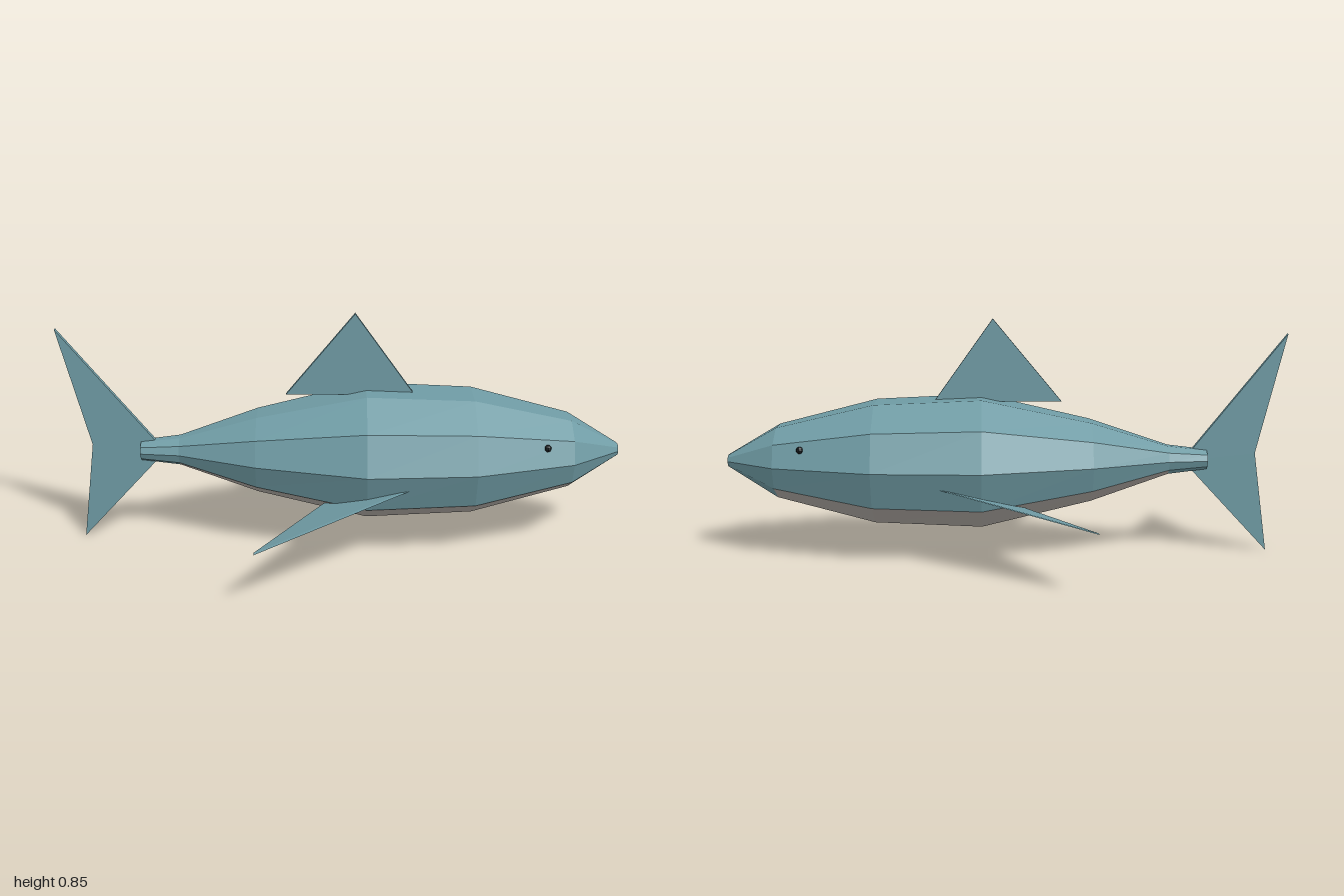
import * as THREE from 'three';

const mat = (color) => new THREE.MeshStandardMaterial({ color, flatShading: true });
const skin = mat(0x6f9ba4), pale = mat(0xb0aaa4), dark = mat(0x15191c);

const SIDES = 10, MID_Y = 0.337, THICK = 0.018;
// Cross-sections from tail to nose: x, half height, half width
const SECTIONS = [
  [-0.72, 0.036, 0.045], [-0.58, 0.053, 0.062], [-0.3, 0.148, 0.178], [0.09, 0.239, 0.28],
  [0.47, 0.222, 0.262], [0.82, 0.132, 0.158], [1.0, 0.022, 0.027],
];

function add(group, name, geometry, material) {
  const mesh = new THREE.Mesh(geometry, material);
  mesh.name = name;
  group.add(mesh);
  return mesh;
}

function fromCorners(corners) {
  const g = new THREE.BufferGeometry();
  g.setAttribute('position', new THREE.Float32BufferAttribute(corners.flat(), 3));
  g.computeVertexNormals();
  return g;
}

// Flat plate in the vertical plane, centred on z = 0
function plate(points) {
  const shape = new THREE.Shape(points.map(([x, y]) => new THREE.Vector2(x, y)));
  const g = new THREE.ExtrudeGeometry(shape, { depth: THICK, bevelEnabled: false });
  return g.translate(0, 0, -THICK / 2);
}

function ringPoint(i, j) {
  const [x, h, w] = SECTIONS[i];
  const a = (j / SIDES) * Math.PI * 2;
  return [x, MID_Y + h * Math.sin(a), w * Math.cos(a)];
}

export function createModel() {
  const model = new THREE.Group();
  model.name = 'shark';

  // Body loft, with the underside split off as the pale belly
  const back = [], belly = [];
  const last = SECTIONS.length - 1;
  for (let i = 0; i < last; i++) {
    for (let j = 0; j < SIDES; j++) {
      const isBelly = i > 0 && (j === 7 || (i < last - 1 && (j === 6 || j === 8)));
      const a = ringPoint(i, j), b = ringPoint(i + 1, j);
      const c = ringPoint(i + 1, j + 1), d = ringPoint(i, j + 1);
      (isBelly ? belly : back).push(a, b, c, a, c, d);
    }
  }
  // Closed ends
  for (let j = 0; j < SIDES; j++) {
    back.push([SECTIONS[0][0], MID_Y, 0], ringPoint(0, j), ringPoint(0, j + 1));
    back.push([SECTIONS[last][0], MID_Y, 0], ringPoint(last, j + 1), ringPoint(last, j));
  }
  add(model, 'body', fromCorners(back), skin);
  add(model, 'belly', fromCorners(belly), pale);

  // Upright fins
  add(model, 'dorsalFin', plate([[-0.195, 0.55], [0.26, 0.55], [0.05, 0.845]]), skin);
  add(model, 'tailFin', plate([[-1, 0.79], [-0.895, 0.36], [-0.945, 0], [-0.635, 0.333]]), skin);

  for (const side of [1, -1]) {
    const label = side > 0 ? 'right' : 'left';

    // Side fin: a unit triangle plate mapped onto the swept, tilted fin
    const tip = new THREE.Vector3(-0.283, 0.213, 0.597 * side);
    const trailing = new THREE.Vector3(-0.05, 0.195, 0.15 * side).sub(tip);
    const leading = new THREE.Vector3(0.28, 0.284, 0.21 * side).sub(tip);
    const fin = plate([[0, 0], [1, 0], [0, 1]]);
    fin.applyMatrix4(new THREE.Matrix4()
      .makeBasis(trailing, leading, new THREE.Vector3(0, 0, 1)).setPosition(tip));
    fin.computeVertexNormals();
    add(model, label + 'SideFin', fin, skin);

    // Eye
    const eye = add(model, label + 'Eye', new THREE.SphereGeometry(0.013, 8, 6), dark);
    eye.position.set(0.72, 0.402, 0.162 * side);
  }
  return model;
}
